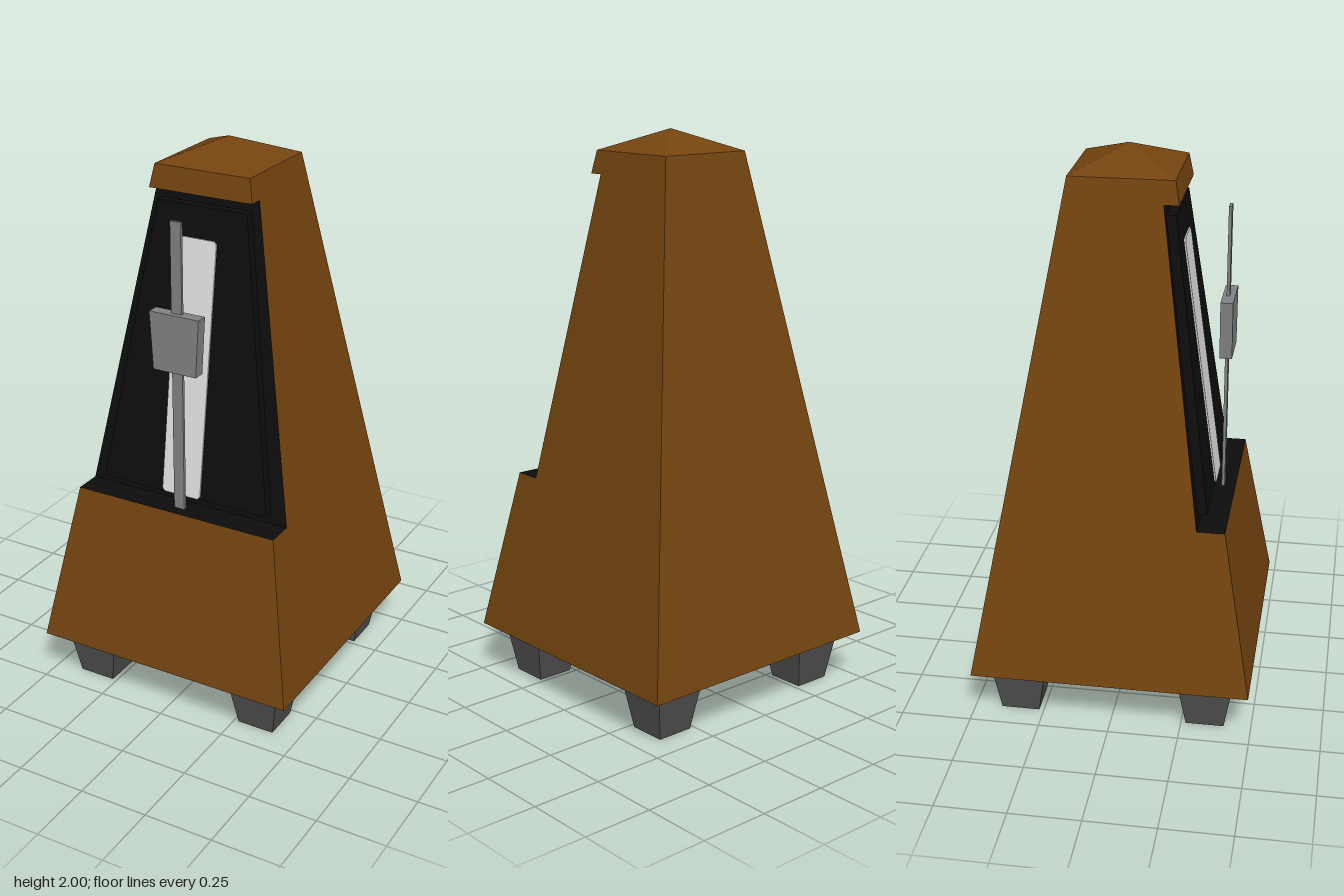
import * as THREE from 'three';

const paint = (name, color) => {
  const m = new THREE.MeshStandardMaterial({ color });
  m.name = name;
  return m;
};

// Tapered block between two rectangles: { y, x0, x1, z0, z1 }
function taper(bottom, top) {
  const g = new THREE.BoxGeometry(1, 1, 1);
  const p = g.attributes.position;
  for (let i = 0; i < p.count; i++) {
    const r = p.getY(i) > 0 ? top : bottom;
    p.setXYZ(i, p.getX(i) > 0 ? r.x1 : r.x0, r.y, p.getZ(i) > 0 ? r.z1 : r.z0);
  }
  g.computeVertexNormals();
  return g;
}

const rect = (y, hx, z0, z1, cx = 0) => ({ y, x0: cx - hx, x1: cx + hx, z0, z1 });

export function createModel() {
  const model = new THREE.Group();
  model.name = 'metronome';
  const wood = paint('wood brown', 0x74440f);
  const black = paint('recess black', 0x0d0d0d);
  const rubber = paint('foot grey', 0x505050);
  const metal = paint('metal grey', 0x828282);
  const white = paint('scale white', 0xe0e0e0);

  const add = (name, geometry, material, parent = model) => {
    const mesh = new THREE.Mesh(geometry, material);
    mesh.name = name;
    parent.add(mesh);
    return mesh;
  };

  // Wooden case: half width shrinks steadily with height
  const half = (y) => 0.493 - (y - 0.18) * 0.1794;
  const section = (y, front = half(y)) => rect(y, half(y), -half(y), front);
  const base = 0.18, ledge = 0.765, lip = 1.845, eave = 1.925;
  // material order: +x, -x, top, bottom, front, back
  add('lowerCase', taper(section(base), section(ledge)), [wood, wood, black, rubber, wood, wood]);
  add('middleCase', taper(section(ledge, 0.291), section(lip, 0.143)), [wood, wood, wood, wood, black, wood]);
  add('upperCase', taper(section(lip), section(eave)), [wood, wood, wood, black, wood, wood]);

  // Shallow pyramid roof
  const roof = new THREE.ConeGeometry(half(eave) * Math.SQRT2, 2 - eave, 4, 1, true).toNonIndexed();
  roof.rotateY(Math.PI / 4).translate(0, (2 + eave) / 2, 0);
  roof.computeVertexNormals();
  add('roof', roof, wood);

  // Raised panel on the sloping recess
  add('recessPanel', taper(rect(0.8, 0.325, 0.27, 0.32), rect(1.805, 0.17, 0.13, 0.182)), black);

  // Scale plate with clipped corners, leaning with the panel
  const w = 0.075, len = 0.905, c = 0.01;
  const outline = new THREE.Shape([
    [-w + c, 0], [w - c, 0], [w, c], [w, len - c], [w - c, len], [-w + c, len], [-w, len - c], [-w, c],
  ].map(([x, y]) => new THREE.Vector2(x, y)));
  const scale = add('scalePlate', new THREE.ExtrudeGeometry(outline, { depth: 0.006, bevelEnabled: false }), white);
  scale.position.set(-0.008, 0.802, 0.319);
  scale.rotation.x = -Math.atan(0.137);

  // Pendulum rod with its sliding weight
  const pendulum = new THREE.Group();
  pendulum.name = 'pendulum';
  model.add(pendulum);
  add('rod', new THREE.BoxGeometry(0.04, 1.035, 0.011).translate(0, 1.2825, 0.344), metal, pendulum);
  add('weight', taper(rect(1.28, 0.082, 0.325, 0.368), rect(1.485, 0.094, 0.325, 0.368)), metal, pendulum);

  // Four tapered feet
  for (const x of [-0.335, 0.335]) {
    for (const z of [-0.335, 0.335]) {
      add('foot', taper(rect(0, 0.068, z - 0.068, z + 0.068, x), rect(base, 0.098, z - 0.098, z + 0.098, x)), rubber);
    }
  }
  return model;
}
